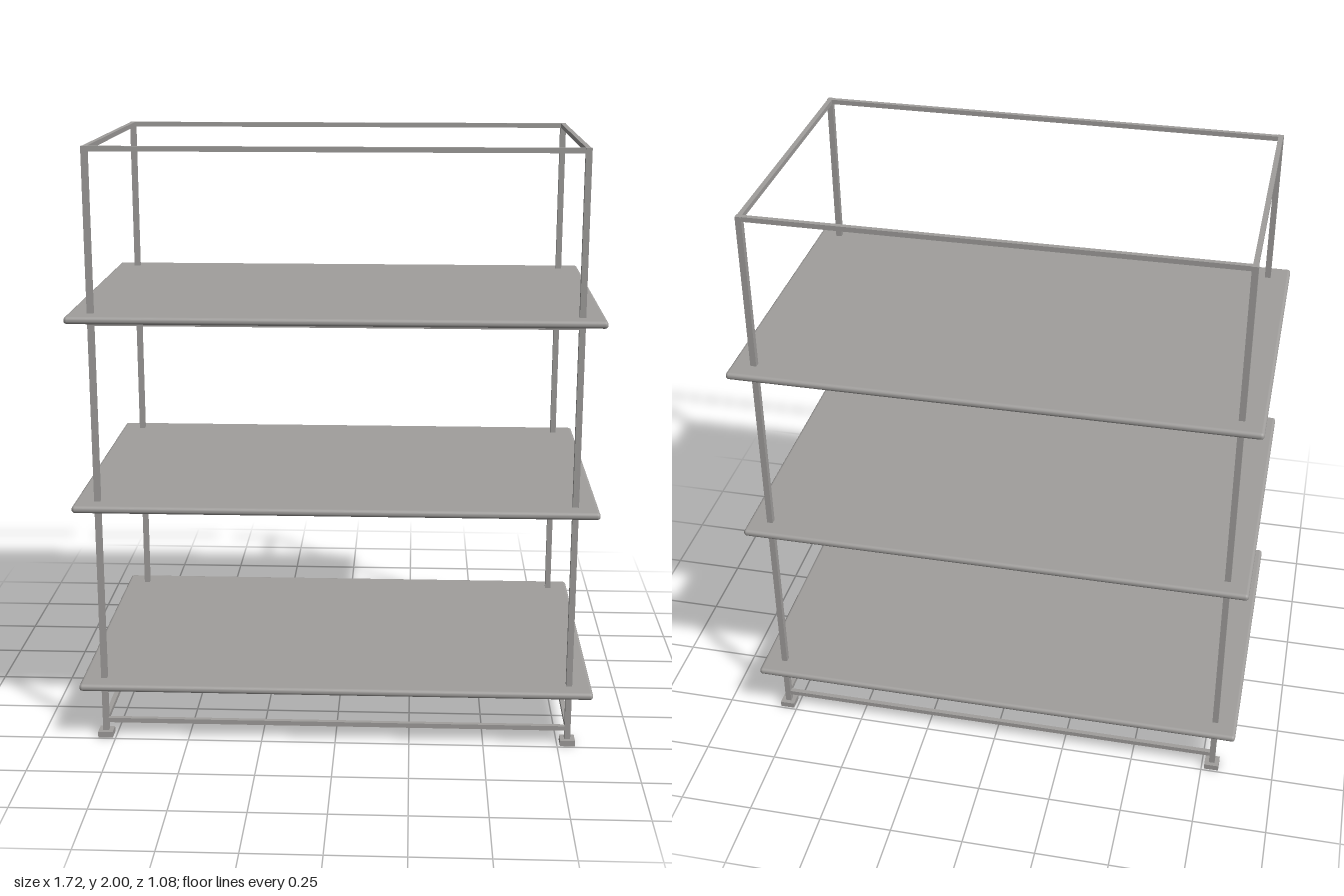
import * as THREE from 'three';
import { RoundedBoxGeometry } from 'three/addons/geometries/RoundedBoxGeometry.js';

export function createModel() {
  const root = new THREE.Group();
  root.name = 'shelfRack';
  const metal = new THREE.MeshStandardMaterial({ color: 0xa09e9c });
  metal.name = 'warm grey metal';

  const X = 0.785, Z = 0.468; // post centres
  const POST = 0.02, RAIL = 0.016;

  function add(parent, name, geometry, x, y, z) {
    const mesh = new THREE.Mesh(geometry, metal);
    mesh.name = name;
    mesh.position.set(x, y, z);
    parent.add(mesh);
  }

  // Corner posts with square foot plates
  for (const sx of [-1, 1]) {
    for (const sz of [-1, 1]) {
      add(root, 'post', new THREE.BoxGeometry(POST, 1.98, POST), sx * X, 1.01, sz * Z);
      add(root, 'foot', new THREE.BoxGeometry(0.05, 0.02, 0.05), sx * X, 0.01, sz * Z);
    }
  }

  // Rectangular ring of rails between the posts
  function railFrame(name, y) {
    const frame = new THREE.Group();
    frame.name = name;
    for (const s of [-1, 1]) {
      add(frame, 'longRail', new THREE.BoxGeometry(2 * X - POST, RAIL, RAIL), 0, y, s * Z);
      add(frame, 'endRail', new THREE.BoxGeometry(RAIL, RAIL, 2 * Z - POST), s * X, y, 0);
    }
    root.add(frame);
    return frame;
  }
  railFrame('baseFrame', 0.057);
  railFrame('topFrame', 1.992);

  // Shelves with rounded edges, each on a frame with two cross rails
  for (const y of [0.2, 0.828, 1.457]) {
    add(root, 'shelf', new RoundedBoxGeometry(1.72, 0.024, 1.08, 3, 0.011), 0, y, 0);
    const frame = railFrame('shelfFrame', y - 0.02);
    for (const s of [-1, 1]) {
      add(frame, 'crossRail', new THREE.BoxGeometry(RAIL, RAIL, 2 * Z - RAIL), s * 0.6, y - 0.02, 0);
    }
  }
  return root;
}
